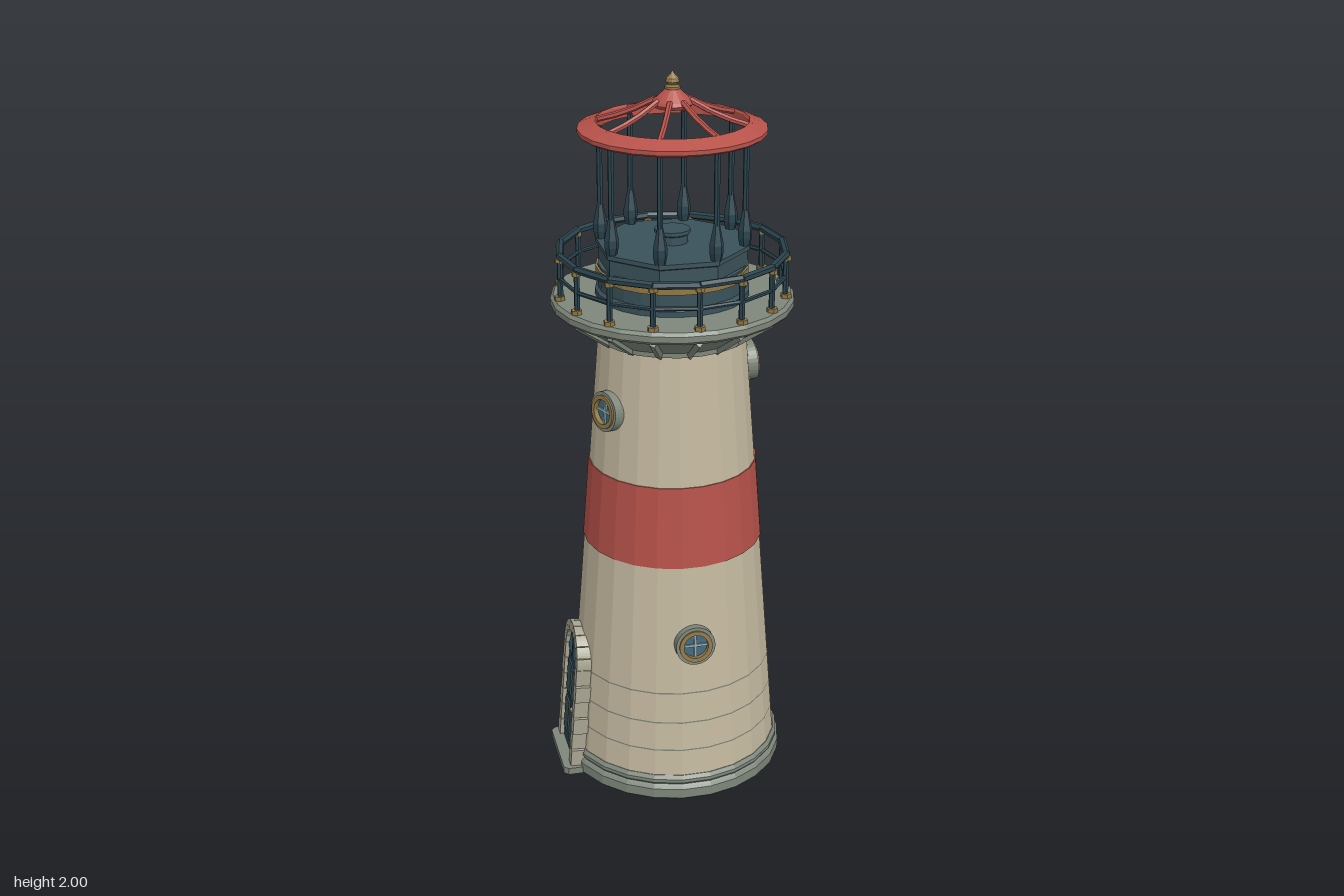
import * as THREE from 'three';

const mat = (name, color) => new THREE.MeshStandardMaterial({ name, color, flatShading: true });
const cream = mat('cream plaster', 0xc4b9a0);
const red = mat('painted red', 0xb7524a);
const stone = mat('grey stone', 0x7e877b);
const paleStone = mat('pale stone', 0xa8a591);
const navy = mat('dark blue metal', 0x2a434d);
const slate = mat('slate blue metal', 0x3a525a);
const brass = mat('brass', 0x927846);
const glass = mat('window glass', 0x41677a);
const paleBlue = mat('pale glazing bar', 0x8fa9ae);

const SIDES = 24;
const LEAN = Math.atan(0.098 / 1.25);
const wallRadius = y => 0.298 - 0.0784 * (y - 0.05);

function add(parent, name, geometry, material, x = 0, y = 0, z = 0) {
  const mesh = new THREE.Mesh(geometry, material);
  mesh.name = name;
  mesh.position.set(x, y, z);
  parent.add(mesh);
  return mesh;
}

function group(parent, name) {
  const g = new THREE.Group();
  g.name = name;
  parent.add(g);
  return g;
}

// Faceted turned part; profile runs upwards as [radius, y], flat side to the front
function turned(parent, name, profile, material, sides = SIDES) {
  const points = profile.map(p => new THREE.Vector2(p[0], p[1]));
  const geometry = new THREE.LatheGeometry(points, sides, Math.PI / sides);
  return add(parent, name, geometry, material);
}

// Square bar between two points
function bar(parent, name, from, to, width, material, sides = 4) {
  const a = new THREE.Vector3(...from), b = new THREE.Vector3(...to);
  const mesh = add(parent, name, new THREE.CylinderGeometry(width / 2, width / 2, a.distanceTo(b), sides), material);
  mesh.position.copy(a).add(b).multiplyScalar(0.5);
  mesh.quaternion.setFromUnitVectors(new THREE.Vector3(0, 1, 0), b.sub(a).normalize());
  return mesh;
}

const polar = (r, a, y) => [r * Math.sin(a), y, r * Math.cos(a)];

// Group on the wall with local +z pointing outwards, leaning with the wall
function onWall(parent, name, angle, y) {
  const g = group(parent, name);
  g.rotation.order = 'YXZ';
  g.rotation.set(-LEAN, angle, 0);
  g.position.set(...polar(wallRadius(y) * 0.995, angle, y));
  return g;
}

function disc(parent, name, radius, depth, z, material, sides = 16) {
  const mesh = add(parent, name, new THREE.CylinderGeometry(radius, radius, depth, sides), material, 0, 0, z);
  mesh.rotation.x = Math.PI / 2;
}

function porthole(parent, angle, y) {
  const g = onWall(parent, 'porthole', angle, y);
  const ring = (name, outer, inner, depth, material) => {
    const shape = new THREE.Shape().absarc(0, 0, outer, 0, Math.PI * 2);
    shape.holes.push(new THREE.Path().absarc(0, 0, inner, 0, Math.PI * 2, true));
    add(g, name, new THREE.ExtrudeGeometry(shape, { depth, bevelEnabled: false, curveSegments: 16 }), material, 0, 0, -0.012);
  };
  ring('stoneSurround', 0.055, 0.044, 0.033, stone);
  ring('brassRim', 0.046, 0.034, 0.038, brass);
  disc(g, 'pane', 0.036, 0.02, 0.002, glass);
  add(g, 'glazingBar', new THREE.BoxGeometry(0.07, 0.007, 0.006), paleBlue, 0, 0, 0.014);
  add(g, 'glazingBar', new THREE.BoxGeometry(0.007, 0.07, 0.006), paleBlue, 0, 0, 0.014);
}

function archShape(w, spring) {
  const s = new THREE.Shape();
  s.moveTo(-w, 0);
  s.lineTo(w, 0);
  s.lineTo(w, spring);
  s.absarc(0, spring, w, 0, Math.PI);
  return s;
}

function doorway(parent) {
  const g = onWall(parent, 'doorway', -Math.PI / 2, 0.02);
  const spring = 0.31;
  // Door leaf with planks, panels and a fanlight
  add(g, 'doorLeaf', new THREE.ExtrudeGeometry(archShape(0.076, spring), { depth: 0.05, bevelEnabled: false, curveSegments: 8 }), navy, 0, 0, -0.038);
  for (const s of [-1, 1]) {
    for (const y of [0.09, 0.215]) {
      add(g, 'doorPanel', new THREE.BoxGeometry(0.05, 0.1, 0.006), slate, s * 0.033, y, 0.014);
    }
  }
  const light = new THREE.Shape().absarc(0, 0, 0.06, 0, Math.PI);
  add(g, 'fanlight', new THREE.ExtrudeGeometry(light, { depth: 0.005, bevelEnabled: false, curveSegments: 8 }), glass, 0, 0.3, 0.012);
  add(g, 'fanlightBar', new THREE.BoxGeometry(0.007, 0.06, 0.005), navy, 0, 0.33, 0.017);
  add(g, 'doorKnob', new THREE.SphereGeometry(0.008, 8, 6), brass, 0.052, 0.155, 0.02);
  // Jamb blocks and arch stones
  for (const s of [-1, 1]) {
    for (let i = 0; i < 6; i++) {
      const w = i % 2 ? 0.028 : 0.034;
      add(g, 'jambBlock', new THREE.BoxGeometry(w, 0.049, 0.066), paleStone, s * (0.07 + w / 2), (i + 0.5) * spring / 6, -0.009);
    }
  }
  for (let i = 0; i < 9; i++) {
    const a0 = (i + 0.03) * Math.PI / 9, a1 = (i + 0.97) * Math.PI / 9;
    const wedge = new THREE.Shape();
    wedge.absarc(0, 0, 0.1, a0, a1, false);
    wedge.absarc(0, 0, 0.07, a1, a0, true);
    add(g, 'archStone', new THREE.ExtrudeGeometry(wedge, { depth: 0.066, bevelEnabled: false, curveSegments: 2 }), paleStone, 0, spring, -0.042);
  }
  // Doorstep with clipped corners
  const step = new THREE.Shape([[-0.343, -0.1], [-0.33, -0.113], [-0.2, -0.113], [-0.2, 0.113], [-0.33, 0.113], [-0.343, 0.1]]
    .map(p => new THREE.Vector2(...p)));
  const slab = add(parent, 'doorstep', new THREE.ExtrudeGeometry(step, { depth: 0.02, bevelEnabled: false }), stone);
  slab.rotation.x = -Math.PI / 2;
}

export function createModel() {
  const root = new THREE.Group();
  root.name = 'lighthouse';
  const tower = group(root, 'tower');
  tower.position.x = 0.008;

  // Plinth, tapered wall, painted band and masonry joints
  turned(tower, 'plinth', [[0, 0], [0.306, 0], [0.312, 0.006], [0.312, 0.034], [0.306, 0.042], [0.302, 0.046],
    [0.306, 0.052], [0.306, 0.062], [0.298, 0.072], [0.28, 0.072]], stone);
  turned(tower, 'wall', [[wallRadius(0.05), 0.05], [wallRadius(1.32), 1.32]], cream);
  turned(tower, 'redBand', [[wallRadius(0.7), 0.7], [wallRadius(0.7) + 0.003, 0.7],
    [wallRadius(0.93) + 0.003, 0.93], [wallRadius(0.93), 0.93]], red);
  for (const y of [0.15, 0.235, 0.325]) {
    turned(tower, 'masonryJoint', [[wallRadius(y) + 0.001, y - 0.002], [wallRadius(y) + 0.001, y + 0.002]], stone);
  }
  porthole(tower, 0, 0.475);
  porthole(tower, Math.PI / 2, 1.19);
  porthole(tower, Math.PI * 0.79, 0.81);
  porthole(tower, -Math.PI * 0.36, 1.115);
  doorway(tower);

  // Gallery deck on a flared underside with ribs
  const gallery = group(tower, 'gallery');
  turned(gallery, 'deck', [[0.19, 1.295], [0.212, 1.295], [0.212, 1.308], [0.305, 1.372], [0.318, 1.372],
    [0.326, 1.38], [0.326, 1.396], [0.318, 1.405], [0, 1.405]], stone);
  for (let i = 0; i < 16; i++) {
    const a = i * Math.PI / 8;
    bar(gallery, 'rib', polar(0.2, a, 1.296), polar(0.3, a, 1.367), 0.022, stone);
  }

  // Sixteen-sided railing
  const railing = group(gallery, 'railing');
  for (let i = 0; i < 16; i++) {
    const a = i * Math.PI / 8, b = a + Math.PI / 8;
    bar(railing, 'railPost', polar(0.302, a, 1.4), polar(0.302, a, 1.525), 0.016, navy, 6);
    bar(railing, 'postFoot', polar(0.304, a, 1.404), polar(0.304, a, 1.416), 0.03, brass, 6);
    bar(railing, 'postCap', polar(0.304, a, 1.508), polar(0.304, a, 1.519), 0.024, brass, 6);
    bar(railing, 'topRail', polar(0.302, a, 1.524), polar(0.302, b, 1.524), 0.021, navy, 6);
    bar(railing, 'midRail', polar(0.302, a, 1.462), polar(0.302, b, 1.462), 0.012, navy, 6);
  }

  // Lantern base: drum, brass band, octagonal curb and lamp pedestal
  const lantern = group(tower, 'lantern');
  turned(lantern, 'drum', [[0.206, 1.4], [0.206, 1.42], [0.198, 1.428], [0.198, 1.49], [0, 1.49]], slate);
  turned(lantern, 'brassBand', [[0.195, 1.464], [0.204, 1.464], [0.204, 1.484], [0.195, 1.484]], brass);
  turned(lantern, 'curb', [[0.2, 1.485], [0.2, 1.528], [0.207, 1.532], [0.207, 1.544], [0, 1.544]], slate, 8);
  turned(lantern, 'lampPedestal', [[0.042, 1.54], [0.042, 1.566], [0.048, 1.57], [0.048, 1.58], [0, 1.58]], slate, 12);

  // Eight posts with spear-shaped feet, and the roof spokes above them
  const roof = group(tower, 'roof');
  for (let i = 0; i < 8; i++) {
    const a = (i + 0.5) * Math.PI / 4;
    bar(lantern, 'lanternPost', polar(0.193, a, 1.54), polar(0.193, a, 1.846), 0.016, navy, 6);
    const foot = turned(lantern, 'postSpear', [[0.014, 1.542], [0.019, 1.565], [0.019, 1.585], [0.013, 1.615], [0.006, 1.65]], navy, 6);
    foot.position.set(...polar(0.193, a, 0));
    const path = [[0.205, 1.862], [0.15, 1.877], [0.1, 1.896], [0.045, 1.924]];
    for (let k = 0; k < 3; k++) {
      bar(roof, 'roofSpoke', polar(path[k][0], a, path[k][1]), polar(path[k + 1][0], a, path[k + 1][1]), 0.016, red, 6);
    }
  }

  // Roof rim, hub and finial
  turned(roof, 'roofRim', [[0.196, 1.866], [0.196, 1.838], [0.238, 1.836], [0.247, 1.842], [0.247, 1.853],
    [0.2, 1.872], [0.196, 1.866]], red);
  turned(roof, 'roofHub', [[0, 1.905], [0.048, 1.905], [0.054, 1.914], [0.05, 1.923], [0.018, 1.952], [0, 1.952]], red, 16);
  turned(roof, 'finial', [[0.012, 1.948], [0.02, 1.952], [0.02, 1.958], [0.011, 1.962], [0.018, 1.97],
    [0.016, 1.979], [0.006, 1.989], [0, 2]], brass, 12);
  return root;
}
